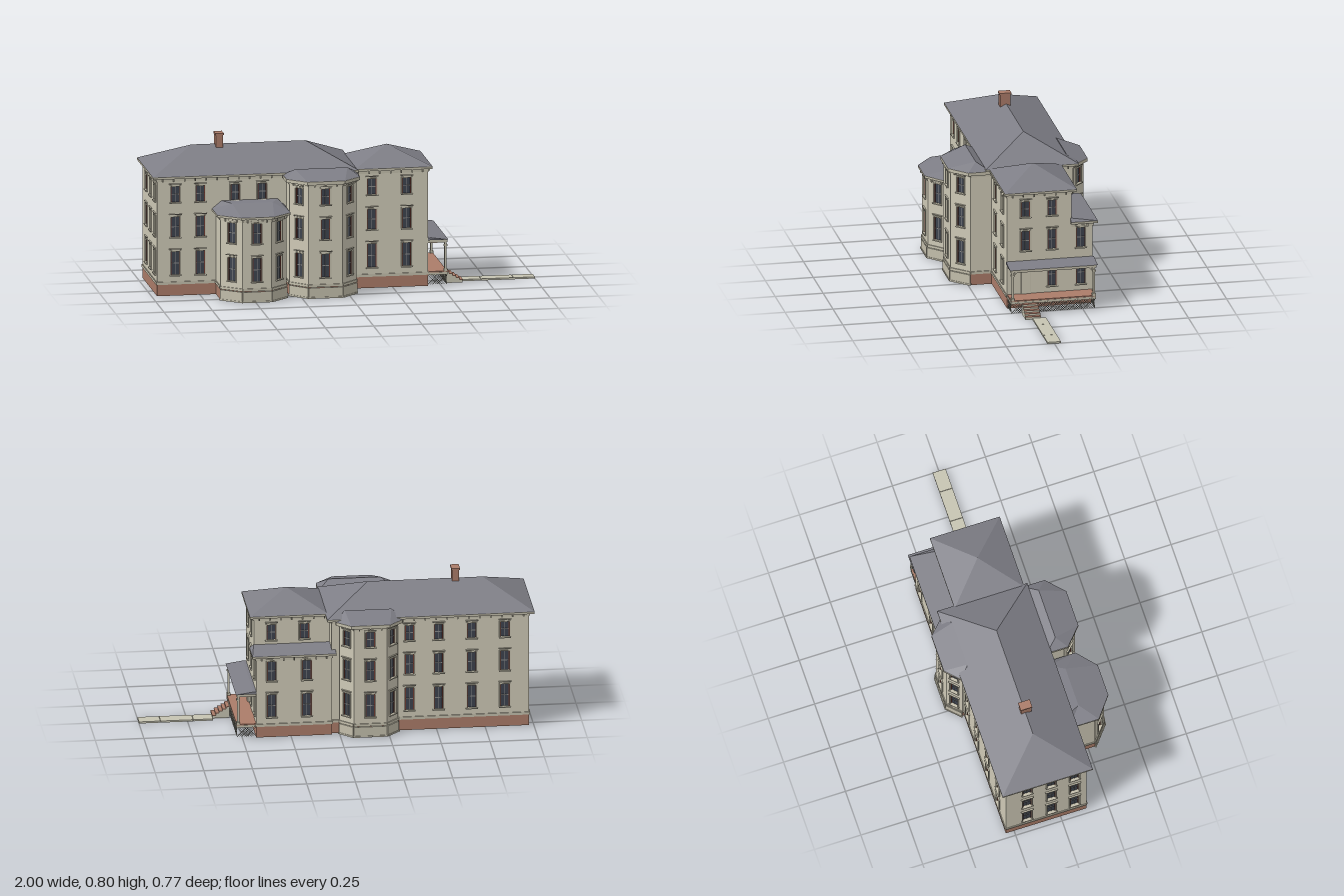
import * as THREE from 'three';
import { mergeGeometries } from 'three/addons/utils/BufferGeometryUtils.js';

const mat = (name, color, double = false) => {
  const m = new THREE.MeshStandardMaterial({ color });
  m.name = name;
  if (double) m.side = THREE.DoubleSide;
  return m;
};

export function createModel() {
  const M = {
    wall: mat('cream wall', 0xcfcab7, true),
    inner: mat('interior tan', 0xa4906f, true),
    trim: mat('stone trim', 0xc4bfac),
    roof: mat('slate roof', 0x7e7e86, true),
    brick: mat('red brick', 0xab7c69, true),
    glass: mat('dark glass', 0x3d434e),
    sash: mat('maroon sash', 0x6e3a31),
    bar: mat('window bar', 0x8b8c8c),
    lattice: mat('grey lattice', 0x8d8c80),
    walk: mat('paving', 0xc6c4b2),
  };

  // Geometry is gathered by part name and merged at the end
  const parts = {};
  const add = (name, m, geo, matrix) => {
    const g = geo.index ? geo.toNonIndexed() : geo;
    g.deleteAttribute('uv');
    if (matrix) g.applyMatrix4(matrix);
    (parts[name] ??= { m, list: [] }).list.push(g);
  };
  const box = (name, m, w, h, d, x, y, z, matrix) =>
    add(name, m, new THREE.BoxGeometry(w, h, d).translate(x, y, z), matrix);
  // Box given by its limits
  const span = (name, m, x0, x1, y0, y1, z0, z1) =>
    box(name, m, x1 - x0, y1 - y0, z1 - z0, (x0 + x1) / 2, (y0 + y1) / 2, (z0 + z1) / 2);

  // Faceted solid between two convex outlines of [x, z] points
  const loft = (name, m, low, y0, high, y1, caps = true) => {
    const b = low.map(([x, z]) => new THREE.Vector3(x, y0, z));
    const t = high.map(([x, z]) => new THREE.Vector3(x, y1, z));
    const pos = [];
    const tri = (p, q, r) => {
      if (new THREE.Triangle(p, q, r).getArea() > 1e-8) for (const v of [p, q, r]) pos.push(v.x, v.y, v.z);
    };
    b.forEach((p, i) => {
      const j = (i + 1) % b.length;
      tri(p, b[j], t[j]);
      tri(p, t[j], t[i]);
    });
    if (caps) for (let i = 1; i < b.length - 1; i++) {
      tri(t[0], t[i], t[i + 1]);
      tri(b[0], b[i + 1], b[i]);
    }
    const g = new THREE.BufferGeometry();
    g.setAttribute('position', new THREE.Float32BufferAttribute(pos, 3));
    g.computeVertexNormals();
    add(name, m, g);
  };

  // Sash window in wall coordinates: u along the wall, z outward
  const addWindow = (u, y0, y1, w, mx) => {
    const h = y1 - y0, cy = (y0 + y1) / 2;
    box('windowGlass', M.glass, w, h, 0.002, u, cy, -0.008, mx);
    for (const s of [-1, 1]) {
      box('windowSurrounds', M.trim, 0.006, h + 0.008, 0.014, u + s * (w / 2 + 0.003), cy, -0.002, mx);
      box('windowSashes', M.sash, 0.004, h, 0.005, u + s * (w / 2 - 0.002), cy, -0.005, mx);
    }
    box('windowSurrounds', M.trim, w + 0.012, 0.006, 0.014, u, y1 + 0.003, -0.002, mx);
    box('windowSurrounds', M.trim, w + 0.016, 0.006, 0.018, u, y0 - 0.003, 0, mx);
    box('windowHoods', M.trim, w + 0.02, 0.004, 0.008, u, y1 + 0.014, 0.004, mx);
    box('windowBars', M.bar, 0.002, h, 0.003, u, cy, -0.006, mx);
    box('windowBars', M.bar, w - 0.008, 0.004, 0.004, u, cy, -0.006, mx);
  };

  const floors = [[0.112, 0.234], [0.31, 0.415], [0.492, 0.574]];

  // Wall from a to b; windows are [position on the main axis, floor numbers]
  const addWall = (a, b, top, wins = [], { base = 'brick', width = 0.046, brackets = true } = {}) => {
    const dx = b[0] - a[0], dz = b[1] - a[1], len = Math.hypot(dx, dz);
    const mx = new THREE.Matrix4().makeRotationY(Math.atan2(-dz, dx)).setPosition(a[0], 0, a[1]);
    const k = Math.abs(dx) > Math.abs(dz) ? 0 : 1;
    const rect = (C, x0, x1, y0, y1) => new C([[x0, y0], [x1, y0], [x1, y1], [x0, y1]].map(p => new THREE.Vector2(...p)));
    const shape = rect(THREE.Shape, 0, len, 0.065, top);
    for (const [c, levels] of wins) for (const f of levels) {
      const u = (c - a[k]) / (b[k] - a[k]) * len, [y0, y1] = floors[f];
      shape.holes.push(rect(THREE.Path, u - width / 2, u + width / 2, y0, y1));
      addWindow(u, y0, y1, width, mx);
    }
    add('walls', M.wall, new THREE.ShapeGeometry(shape), mx);
    add('interiorLining', M.inner, new THREE.ShapeGeometry(shape).translate(0, 0, -0.003), mx);
    const foot = rect(THREE.Shape, 0, len, 0.004, 0.065);
    if (base === 'brick') add('brickBase', M.brick, new THREE.ShapeGeometry(foot), mx);
    else {
      box('bayBase', M.trim, len, 0.05, 0.008, len / 2, 0.035, 0.002, mx);
      box('bayBase', M.trim, len + 0.006, 0.008, 0.014, len / 2, 0.008, 0.002, mx);
    }
    box('waterTable', M.trim, len, 0.014, 0.008, len / 2, 0.07, 0.001, mx);
    box('frieze', M.trim, len, 0.018, 0.006, len / 2, top - 0.009, 0.002, mx);
    const n = brackets ? Math.max(2, Math.round(len / 0.055)) : 0;
    for (let i = 0; i < n; i++) box('eaveBrackets', M.trim, 0.006, 0.018, 0.014, (i + 0.5) * len / n, top - 0.009, 0.007, mx);
  };

  // Main block
  const all = [0, 1, 2];
  addWall([-0.975, 0.14], [0.04, 0.14], 0.62, [[-0.88, all], [-0.75, all], [-0.57, [2]], [-0.43, [2]]]);
  addWall([0.04, 0.14], [0.04, -0.295], 0.62);
  addWall([0.04, -0.295], [-0.975, -0.295], 0.62, [-0.36, -0.51, -0.68, -0.85].map(x => [x, all]));
  addWall([-0.975, -0.295], [-0.975, 0.14], 0.62, [-0.18, -0.05, 0.075].map(z => [z, all]));
  // Side wing
  addWall([0.04, 0.13], [0.43, 0.13], 0.62, [[0.14, all], [0.32, all]]);
  addWall([0.43, 0.13], [0.43, -0.205], 0.62, [[0.033, [1, 2]], [-0.105, all]]);
  addWall([0.43, -0.205], [0.04, -0.205], 0.62, [[0.34, [2]], [0.17, [2]]]);
  // Two-storey rear wing
  addWall([0.43, -0.205], [0.43, -0.315], 0.44, [[-0.255, [0, 1]]]);
  addWall([0.43, -0.315], [0.04, -0.315], 0.44, [[0.35, [0, 1]], [0.17, [0, 1]]]);
  addWall([0.04, -0.315], [0.04, -0.295], 0.44, [], { brackets: false });

  // Canted bays: side, chamfer, face, chamfer, side
  const addBay = (pts, top, levels) => {
    for (let i = 0; i < pts.length - 1; i++) {
      const [a, b] = [pts[i], pts[i + 1]], side = a[0] === b[0];
      const face = a[1] === b[1];
      const k = Math.abs(b[0] - a[0]) > Math.abs(b[1] - a[1]) ? 0 : 1;
      addWall(a, b, top, side ? [] : [[(a[k] + b[k]) / 2, levels]],
        { base: side ? 'brick' : 'stone', width: face ? 0.046 : 0.042, brackets: !side });
    }
  };
  addBay([[-0.67, 0.14], [-0.67, 0.285], [-0.57, 0.368], [-0.42, 0.368], [-0.33, 0.285], [-0.33, 0.14]], 0.44, [0, 1]);
  addBay([[-0.305, 0.14], [-0.305, 0.24], [-0.222, 0.326], [-0.045, 0.326], [0.04, 0.24], [0.04, 0.14]], 0.605, all);
  addBay([[0, -0.295], [0, -0.305], [-0.065, -0.37], [-0.235, -0.37], [-0.3, -0.305], [-0.3, -0.295]], 0.605, all);

  // Roofs with boxed eaves below
  const addRoof = (name, eave, y0, ridge, y1, drop = 0.012) => {
    loft(name, M.roof, eave, y0, ridge, y1);
    loft('eaveCornice', M.trim, eave, y0 - drop, eave, y0 - 0.001);
  };
  const rect = (x0, x1, z0, z1) => [[x0, z1], [x1, z1], [x1, z0], [x0, z0]];
  addRoof('mainRoof', rect(-1, 0.065, -0.32, 0.165), 0.63, rect(-0.76, -0.17, -0.078, -0.078), 0.742);
  addRoof('wingRoof', rect(0.05, 0.452, -0.23, 0.145), 0.63, rect(0.245, 0.245, -0.043, -0.043), 0.716);
  addRoof('rearWingRoof', rect(0.02, 0.452, -0.34, -0.2), 0.453, rect(0.02, 0.43, -0.2, -0.2), 0.47);
  addRoof('lowBayRoof',
    [[-0.69, 0.14], [-0.69, 0.3], [-0.58, 0.387], [-0.41, 0.387], [-0.31, 0.3], [-0.31, 0.14]], 0.452,
    [[-0.64, 0.14], [-0.6, 0.22], [-0.6, 0.22], [-0.39, 0.22], [-0.39, 0.22], [-0.35, 0.14]], 0.492);
  addRoof('tallBayRoof',
    [[-0.325, 0.14], [-0.325, 0.255], [-0.23, 0.342], [-0.035, 0.342], [0.057, 0.255], [0.057, 0.14]], 0.617,
    [-0.27, -0.27, -0.27, 0, 0, 0].map(x => [x, 0.205]), 0.656, 0.018);
  addRoof('rearBayRoof',
    [[0.02, -0.28], [0.02, -0.32], [-0.05, -0.388], [-0.25, -0.388], [-0.32, -0.32], [-0.32, -0.28]], 0.617,
    [-0.03, -0.03, -0.03, -0.27, -0.27, -0.27].map(x => [x, -0.27]), 0.66, 0.018);

  // Chimney
  span('chimney', M.brick, -0.638, -0.602, 0.68, 0.795, -0.1, -0.046);
  span('chimney', M.brick, -0.642, -0.598, 0.793, 0.802, -0.104, -0.042);

  // Porch
  span('porchFloor', M.brick, 0.43, 0.53, 0.072, 0.078, -0.31, 0.128);
  span('porchSkirt', M.trim, 0.43, 0.532, 0.06, 0.072, -0.312, 0.13);
  span('porchCeiling', M.brick, 0.43, 0.525, 0.226, 0.23, -0.31, 0.125);
  span('porchBeam', M.trim, 0.512, 0.53, 0.228, 0.243, -0.315, 0.13);
  for (const z of [-0.307, 0.122]) span('porchBeam', M.trim, 0.43, 0.53, 0.228, 0.243, z - 0.006, z + 0.006);
  loft('porchRoof', M.roof, rect(0.43, 0.535, -0.322, 0.136), 0.243, rect(0.43, 0.445, -0.322, 0.136), 0.256);
  for (const [z, s] of [[0.12, -1], [-0.303, 1]]) {
    box('porchPosts', M.trim, 0.011, 0.152, 0.011, 0.522, 0.153, z);
    box('porchPosts', M.trim, 0.018, 0.014, 0.018, 0.522, 0.083, z);
    box('porchPosts', M.trim, 0.018, 0.008, 0.018, 0.522, 0.212, z);
    const tilt = new THREE.Matrix4().makeRotationX(s * Math.PI / 4).setPosition(0.522, 0.219, z + s * 0.012);
    box('postBrackets', M.trim, 0.006, 0.03, 0.006, 0, 0, 0, tilt);
  }
  // Door beneath the porch
  span('door', M.trim, 0.43, 0.435, 0.078, 0.22, 0.005, 0.061);
  span('doorPanel', M.wall, 0.434, 0.438, 0.08, 0.215, 0.009, 0.057);

  // Lattice strips under the porch
  const slats = (count, at, turn) => {
    for (let i = 0; i < count; i++) for (const s of [-1, 1]) {
      const mx = new THREE.Matrix4().makeRotationY(turn).setPosition(...at(i));
      add('porchLattice', M.lattice, new THREE.BoxGeometry(0.002, 0.07, 0.002).rotateZ(s * Math.PI / 4), mx);
    }
  };
  slats(33, i => [0.528, 0.035, 0.103 - i * 0.0121], Math.PI / 2);
  for (const z of [0.126, -0.308]) slats(5, i => [0.455 + i * 0.0121, 0.035, z], 0);

  // Steps and garden walk
  for (let i = 0; i < 5; i++) {
    const x = 0.532 + i * 0.0175, y = 0.062 - i * 0.011;
    span('stepRisers', M.walk, x, x + 0.0175, 0.002, y - 0.003, -0.008, 0.072);
    span('stepTreads', M.brick, x, x + 0.019, y - 0.003, y, -0.008, 0.072);
  }
  for (const [x0, x1] of [[0.62, 0.72], [0.722, 0.888], [0.89, 1]]) span('gardenWalk', M.walk, x0, x1, 0, 0.009, -0.034, 0.036);

  const group = new THREE.Group();
  group.name = 'house';
  for (const [name, { m, list }] of Object.entries(parts)) {
    const mesh = new THREE.Mesh(mergeGeometries(list), m);
    mesh.name = name;
    group.add(mesh);
  }
  return group;
}
